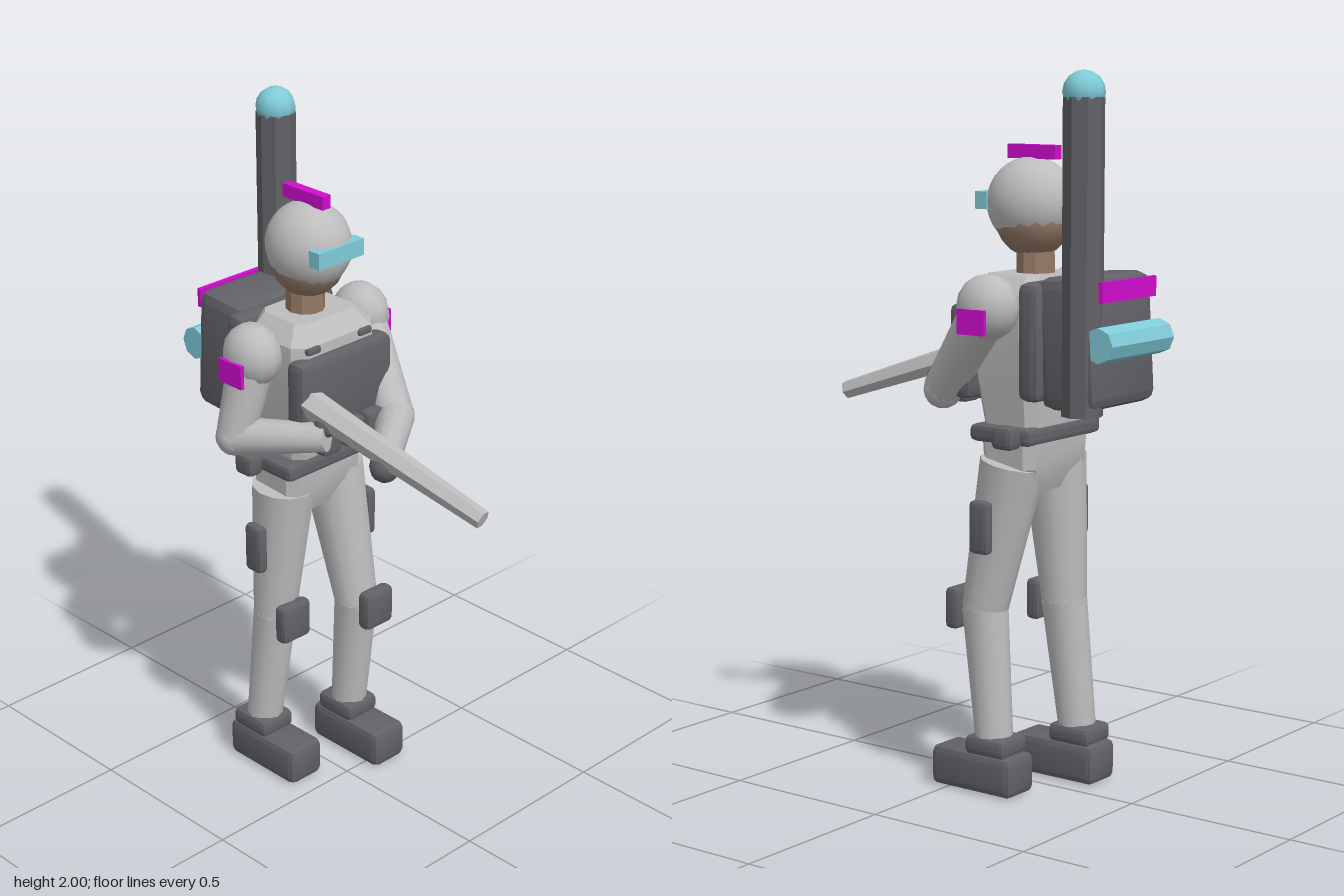
import * as THREE from 'three';
import { RoundedBoxGeometry } from 'three/addons/geometries/RoundedBoxGeometry.js';
import { toCreasedNormals } from 'three/addons/utils/BufferGeometryUtils.js';

const mat = (name, color) => {
  const m = new THREE.MeshStandardMaterial({ color });
  m.name = name;
  return m;
};

export function createModel() {
  const root = new THREE.Group();
  root.name = 'armouredFigure';
  const suit = mat('lightGreySuit', 0xbdbdbd);
  const gear = mat('darkGreyGear', 0x626167);
  const mark = mat('magentaMarking', 0xd00ccf);
  const glow = mat('cyanGlass', 0x7fcbd8);
  const skin = mat('skin', 0x957a67);
  const V = (p) => new THREE.Vector3(...p);

  const add = (name, geo, material, pos = [0, 0, 0], parent = root) => {
    const m = new THREE.Mesh(geo, material);
    m.name = name;
    m.position.set(...pos);
    parent.add(m);
    return m;
  };
  // box with chamfered edges
  const pad = (name, size, pos, r = 0.015, material = gear) =>
    add(name, toCreasedNormals(new RoundedBoxGeometry(...size, 1, r), 0.4), material, pos);
  const plate = (name, size, pos, material) =>
    add(name, new THREE.BoxGeometry(...size), material, pos);
  const ball = (name, r, pos, material, w = 14, h = 10) => {
    const m = add(name, new THREE.SphereGeometry(1, w, h), material, pos);
    m.scale.set(...r);
    return m;
  };
  // tapered cylinder between two points
  const limb = (name, a, b, ra, rb, material = suit, sides = 12, crease = 0.6) => {
    const p = V(a), q = V(b), d = q.clone().sub(p);
    const geo = toCreasedNormals(new THREE.CylinderGeometry(rb, ra, d.length(), sides), crease);
    const m = add(name, geo, material, p.clone().add(q).multiplyScalar(0.5).toArray());
    m.quaternion.setFromUnitVectors(new THREE.Vector3(0, 1, 0), d.normalize());
    return m;
  };
  // stack of chamfered rectangles: [y, centre x, half x, half z]
  const loft = (name, rings, material, cz) => {
    const pos = [], idx = [], n = 8;
    for (const [y, cx, hx, hz] of rings) {
      const c = 0.3 * Math.min(hx, hz);
      const pts = [[hx, hz - c], [hx - c, hz], [c - hx, hz], [-hx, hz - c],
        [-hx, c - hz], [c - hx, -hz], [hx - c, -hz], [hx, c - hz]];
      pts.forEach(([x, z]) => pos.push(cx + x, y, cz + z));
    }
    for (let r = 0; r < rings.length - 1; r++)
      for (let i = 0; i < n; i++) {
        const a = r * n + i, b = r * n + (i + 1) % n;
        idx.push(a, a + n, b, b, a + n, b + n);
      }
    const top = (rings.length - 1) * n;
    for (let i = 1; i < n - 1; i++) {
      idx.push(0, i, i + 1);
      idx.push(top, top + i + 1, top + i);
    }
    // rings wind from +x towards +z, so flip to face outwards where needed
    const g = new THREE.BufferGeometry();
    g.setAttribute('position', new THREE.Float32BufferAttribute(pos, 3));
    g.setIndex(idx);
    return add(name, toCreasedNormals(g, 0.4), material);
  };

  // head
  const cz = -0.015;
  ball('face', [0.112, 0.115, 0.105], [-0.17, 1.605, cz], skin);
  const helmet = add('helmet', new THREE.SphereGeometry(1, 18, 12, 0, Math.PI * 2, 0, Math.PI * 0.73), suit, [-0.164, 1.64, cz]);
  helmet.scale.set(0.127, 0.124, 0.116);
  plate('visor', [0.04, 0.048, 0.17], [-0.055, 1.645, cz], glow);
  plate('helmetCrest', [0.158, 0.038, 0.03], [-0.174, 1.777, cz - 0.002], mark);
  limb('neck', [-0.177, 1.4, -0.012], [-0.175, 1.56, -0.012], 0.056, 0.054, skin, 10);

  // torso and pelvis
  loft('torso', [[1.03, -0.175, 0.09, 0.125], [1.12, -0.17, 0.1, 0.135], [1.3, -0.158, 0.118, 0.16],
    [1.4, -0.16, 0.115, 0.155], [1.45, -0.17, 0.085, 0.11]], suit, -0.018);
  loft('pelvis', [[0.855, -0.175, 0.06, 0.1], [0.925, -0.175, 0.088, 0.14], [1.0, -0.175, 0.092, 0.143]], suit, -0.012);
  pad('chestPlate', [0.07, 0.26, 0.35], [-0.047, 1.24, -0.018], 0.022);
  pad('backPlate', [0.07, 0.32, 0.36], [-0.282, 1.28, -0.018], 0.022);
  for (const z of [-0.1, -0.02, 0.07]) pad('chestPouch', [0.05, 0.08, 0.07], [-0.004, 1.13, z], 0.012);
  for (const z of [-0.11, 0.085]) pad('shoulderStrap', [0.23, 0.022, 0.05], [-0.15, 1.39, z], 0.008);
  pad('belt', [0.205, 0.048, 0.33], [-0.173, 1.018, -0.011], 0.015);
  for (const z of [-0.197, 0.175]) pad('beltPouch', [0.068, 0.063, 0.055], [-0.215, 1.019, z], 0.014);

  // backpack with aerial and power cell
  pad('backpack', [0.18, 0.355, 0.31], [-0.384, 1.28, -0.02], 0.032).rotation.z = -0.06;
  plate('backpackStripe', [0.012, 0.055, 0.255], [-0.483, 1.422, -0.017], mark);
  limb('aerial', [-0.42, 1.09, -0.135], [-0.42, 1.93, -0.135], 0.056, 0.056, gear, 8, 0.3);
  ball('aerialTip', [0.057, 0.057, 0.057], [-0.42, 1.943, -0.135], glow, 10, 8);
  limb('powerCell', [-0.489, 1.285, -0.165], [-0.489, 1.285, 0.128], 0.048, 0.048, glow, 8, 0.3);

  // legs, the side at -z stepping forward
  const legs = [
    { hip: [-0.172, 0.935, 0.083], knee: [-0.2, 0.52, 0.097], ankle: [-0.238, 0.14, 0.112], foot: -0.19, cuff: -0.243, pouch: [-0.18, 0.765, 0.185], pz: 0.1 },
    { hip: [-0.172, 0.935, -0.108], knee: [-0.088, 0.52, -0.123], ankle: [-0.126, 0.14, -0.13], foot: -0.083, cuff: -0.13, pouch: [-0.135, 0.765, -0.205], pz: -0.127 },
  ];
  for (const l of legs) {
    limb('thigh', l.knee, l.hip, 0.064, 0.092);
    ball('knee', [0.064, 0.064, 0.064], l.knee, suit);
    limb('shin', l.ankle, l.knee, 0.053, 0.065);
    pad('kneePad', [0.044, 0.118, 0.108], [l.knee[0] + 0.078, 0.516, l.pz], 0.014);
    pad('thighPouch', [0.066, 0.148, 0.035], l.pouch, 0.014);
    pad('ankleCuff', [0.137, 0.055, 0.12], [l.cuff, 0.138, l.ankle[2]], 0.016);
    pad('boot', [0.275, 0.115, 0.124], [l.foot, 0.0605, l.ankle[2]], 0.02);
  }

  // arms holding the rifle
  const arms = [
    { sh: [-0.173, 1.372, 0.192], el: [-0.192, 1.135, 0.245], wr: [0.045, 1.17, 0.12], hand: [0.03, 1.2, 0.11], r: 0.036, band: 0.269 },
    { sh: [-0.175, 1.372, -0.226], el: [0.02, 1.13, -0.172], wr: [0.2, 1.125, 0.05], hand: [0.215, 1.122, 0.068], r: 0.043, band: -0.298 },
  ];
  for (const a of arms) {
    ball('shoulder', [0.09, 0.09, 0.077], a.sh, suit, 12, 8);
    limb('upperArm', a.el, a.sh, 0.055, 0.068);
    ball('elbow', [0.055, 0.055, 0.055], a.el, suit);
    limb('forearm', a.el, a.wr, 0.055, 0.04);
    ball('glove', [a.r, a.r, a.r], a.hand, gear, 10, 8);
    plate('armBand', [0.09, 0.068, 0.012], [-0.175, 1.338, a.band], mark);
  }
  limb('rifle', [-0.03, 1.25, 0.115], [0.53, 1.06, 0.016], 0.042, 0.027, suit, 6, 0.3);

  return root;
}
